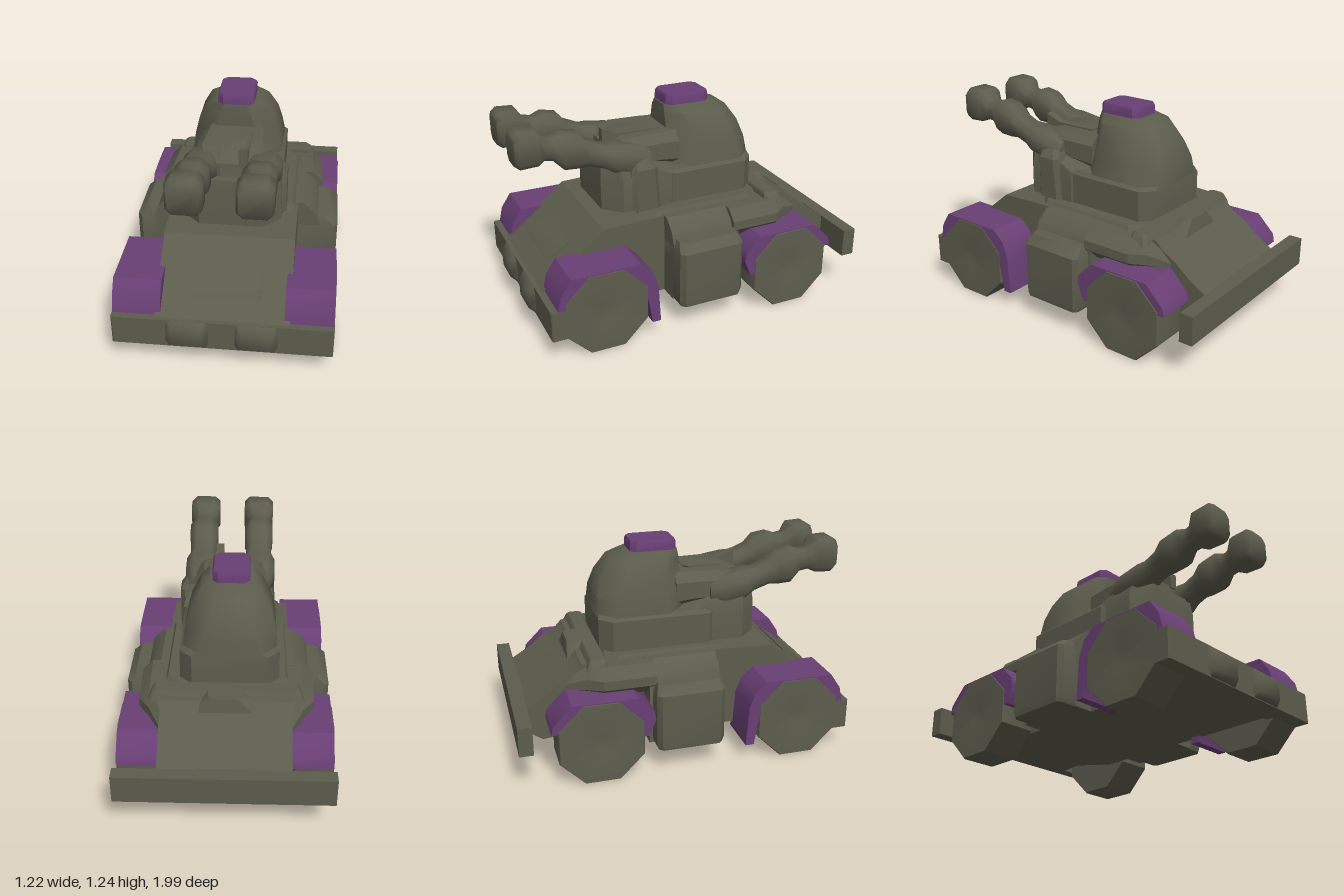
import * as THREE from 'three';
import { toCreasedNormals } from 'three/addons/utils/BufferGeometryUtils.js';

const olive = new THREE.MeshStandardMaterial({ color: 0x5c5c4d });
olive.name = 'olive armour';
const purple = new THREE.MeshStandardMaterial({ color: 0x693f75 });
purple.name = 'purple trim';

function add(parent, name, geometry, material = olive, crease = 0.6) {
  const mesh = new THREE.Mesh(toCreasedNormals(geometry, crease), material);
  mesh.name = name;
  parent.add(mesh);
  return mesh;
}

// Side profile given as [z, y], extruded across the width from x0 to x1
function across(points, x0, x1) {
  const shape = new THREE.Shape(points.map(([z, y]) => new THREE.Vector2(z, y)));
  const g = new THREE.ExtrudeGeometry(shape, { depth: x1 - x0, bevelEnabled: false });
  return g.rotateY(-Math.PI / 2).translate(x1, 0, 0);
}

// Stack of chamfered rectangles along y: [y, centreX, centreZ, halfX, halfZ, chamfer 0..1]
function loft(sections) {
  const pos = [], index = [], n = 8;
  sections.forEach(([y, cx, cz, hx, hz, cut]) => {
    const c = cut * Math.min(hx, hz), a = hx - c, b = hz - c;
    [[hx, -b], [hx, b], [a, hz], [-a, hz], [-hx, b], [-hx, -b], [-a, -hz], [a, -hz]]
      .forEach(([x, z]) => pos.push(cx + x, y, cz + z));
  });
  const last = sections.length - 1;
  for (let s = 0; s < last; s++) {
    for (let i = 0; i < n; i++) {
      const a = s * n + i, b = s * n + (i + 1) % n;
      index.push(a, a + n, b, b, a + n, b + n);
    }
  }
  for (let i = 1; i < n - 1; i++) {
    index.push(0, i, i + 1, last * n, last * n + i + 1, last * n + i);
  }
  const g = new THREE.BufferGeometry();
  g.setAttribute('position', new THREE.Float32BufferAttribute(pos, 3));
  g.setIndex(index);
  return g;
}

// Same stack laid along z: [z, centreX, centreY, halfX, halfY, chamfer]
function loftZ(sections) {
  return loft(sections.map(([z, x, y, hx, hy, c]) => [z, x, -y, hx, hy, c])).rotateX(Math.PI / 2);
}

function wheelGeometry() {
  const profile = [[0, -0.11], [0.258, -0.11], [0.263, -0.1], [0.263, 0.1], [0.258, 0.11],
    [0.05, 0.11], [0, 0.098]].map(([r, y]) => new THREE.Vector2(r, y));
  return new THREE.LatheGeometry(profile, 8, Math.PI / 8).rotateZ(-Math.PI / 2);
}

export function createModel() {
  const model = new THREE.Group();
  model.name = 'armouredVehicle';

  // Hull: sloped nose, flat deck, stepped tail
  const hull = new THREE.Group();
  hull.name = 'hull';
  model.add(hull);
  add(hull, 'hullCore', across([
    [0.93, 0.15], [0.93, 0.31], [0.84, 0.38], [0.72, 0.475], [0.55, 0.615], [0.3, 0.625],
    [-0.6, 0.625], [-0.64, 0.58], [-0.73, 0.53], [-0.8, 0.47], [-0.93, 0.39], [-0.93, 0.25],
    [-0.84, 0.19], [-0.7, 0.2], [-0.4, 0.14], [0.85, 0.14],
  ], -0.37, 0.37));
  const midShape = new THREE.Shape([[-0.49, 0.14], [0.49, 0.14], [0.5, 0.5], [0.47, 0.57], [0.4, 0.63],
    [-0.4, 0.63], [-0.47, 0.57], [-0.5, 0.5]].map(([x, y]) => new THREE.Vector2(x, y)));
  add(hull, 'midHull', new THREE.ExtrudeGeometry(midShape, { depth: 0.42, bevelEnabled: false })
    .translate(0, 0, -0.24));
  add(hull, 'rearShoulders', loftZ([
    [-0.7, 0, 0.5, 0.37, 0.04, 0.6], [-0.58, 0, 0.53, 0.44, 0.08, 0.6],
    [-0.5, 0, 0.535, 0.5, 0.09, 0.7], [-0.2, 0, 0.54, 0.51, 0.09, 0.7],
  ]));
  add(hull, 'turretDeck', loft([
    [0.6, 0, -0.08, 0.37, 0.4, 0.2], [0.65, 0, -0.08, 0.34, 0.37, 0.2],
  ]));
  add(hull, 'rearDeckRidge', loft([
    [0.6, 0, -0.52, 0.44, 0.06, 0.3], [0.645, 0, -0.51, 0.42, 0.05, 0.3], [0.66, 0, -0.51, 0.4, 0.04, 0.3],
  ]));
  add(hull, 'rearDeckStep', loft([
    [0.56, 0, -0.56, 0.2, 0.09, 0.4], [0.66, 0, -0.56, 0.1, 0.075, 0.4],
  ]));
  // Low raised panel on the sloped nose
  add(hull, 'nosePanel', across([[0.84, 0.39], [0.79, 0.44], [0.7, 0.498], [0.7, 0.4]], -0.2, 0.2));

  // Bumpers
  add(model, 'frontBumper', loft([
    [0.135, 0, 0.88, 0.61, 0.07, 0.1], [0.312, 0, 0.88, 0.61, 0.07, 0.1],
  ]));
  add(model, 'rearBumper', new THREE.BoxGeometry(1.22, 0.17, 0.08).translate(0, 0.315, -0.96));
  add(model, 'rearBumperMount', loft([
    [0.25, 0, -0.91, 0.2, 0.06, 0.6], [0.4, 0, -0.91, 0.15, 0.04, 0.6],
  ]));

  // Fender profiles
  const frontFender = [[0.91, 0.31], [0.89, 0.4], [0.83, 0.49], [0.43, 0.49], [0.36, 0.43], [0.325, 0.34],
    [0.31, 0.1], [0.36, 0.1], [0.385, 0.25], [0.48, 0.42], [0.79, 0.42], [0.84, 0.31]];
  const rearFender = [[-0.23, 0.35], [-0.24, 0.4], [-0.33, 0.49], [-0.7, 0.49], [-0.81, 0.38], [-0.82, 0.33],
    [-0.74, 0.33], [-0.62, 0.42], [-0.42, 0.42], [-0.31, 0.25], [-0.27, 0.25]];

  for (const side of [1, -1]) {
    const label = side > 0 ? 'left' : 'right';
    const span = (a, b) => (side > 0 ? [a, b] : [-b, -a]);
    add(model, label + 'FrontFender', across(frontFender, ...span(0.34, 0.607)), purple);
    add(model, label + 'RearFender', across(rearFender, ...span(0.35, 0.605)), purple);

    // Wheels
    for (const [name, z] of [['FrontWheel', 0.63], ['RearWheel', -0.54]]) {
      const wheel = add(model, label + name, wheelGeometry());
      wheel.position.set(side * 0.5, 0.243, z);
      if (side < 0) wheel.rotation.y = Math.PI;
    }

    // Broad low swelling of the bumper below each gun
    add(model, label + 'BumperSwell', loft([
      [0.14, side * 0.19, 0.91, 0.14, 0.04, 0.95], [0.17, side * 0.19, 0.925, 0.14, 0.06, 0.95],
      [0.28, side * 0.19, 0.925, 0.14, 0.06, 0.95], [0.31, side * 0.19, 0.91, 0.14, 0.04, 0.95],
    ]), olive, 1.2);

    // Side tank between the wheels
    add(model, label + 'SidePod', loft([
      [0.14, side * 0.485, -0.02, 0.12, 0.19, 0.2], [0.17, side * 0.48, -0.02, 0.13, 0.2, 0.2],
      [0.48, side * 0.48, -0.02, 0.13, 0.2, 0.2], [0.53, side * 0.46, -0.02, 0.1, 0.18, 0.25],
    ]));
  }

  // Turret
  const turret = new THREE.Group();
  turret.name = 'turret';
  model.add(turret);
  add(turret, 'turretBase', loft([
    [0.65, -0.015, -0.11, 0.285, 0.36, 0.25], [0.83, -0.015, -0.11, 0.285, 0.36, 0.25],
    [0.85, -0.015, -0.11, 0.265, 0.355, 0.3],
  ]));
  add(turret, 'turretFront', loft([
    [0.65, 0, 0.24, 0.28, 0.25, 0.4], [0.84, 0, 0.24, 0.28, 0.25, 0.4], [0.93, 0, 0.34, 0.25, 0.14, 0.6],
  ]));
  add(turret, 'turretSideKnob', loft([
    [0.65, 0.25, 0.25, 0.055, 0.09, 0.5], [0.9, 0.25, 0.26, 0.055, 0.08, 0.5], [0.95, 0.22, 0.27, 0.05, 0.06, 0.5],
  ]));
  add(turret, 'dome', loft([
    [0.83, -0.015, -0.215, 0.27, 0.255, 0.35], [0.94, -0.02, -0.212, 0.255, 0.25, 0.42],
    [1.04, -0.02, -0.195, 0.23, 0.235, 0.5], [1.14, -0.02, -0.16, 0.175, 0.2, 0.5],
    [1.18, -0.02, -0.115, 0.125, 0.15, 0.45],
  ]), olive, 0.8);
  add(turret, 'hatch', loft([
    [1.165, -0.02, -0.11, 0.107, 0.138, 0.3], [1.225, -0.02, -0.11, 0.107, 0.136, 0.3],
    [1.24, -0.02, -0.11, 0.1, 0.13, 0.3],
  ]), purple);

  // Gun mantlet and central column
  add(turret, 'mantlet', loftZ([
    [0, -0.01, 0.94, 0.2, 0.11, 0.5], [0.12, -0.01, 0.95, 0.21, 0.1, 0.5],
    [0.3, -0.01, 0.95, 0.22, 0.1, 0.5], [0.43, -0.01, 0.93, 0.18, 0.08, 0.5],
  ]));
  add(turret, 'centreColumn', loft([
    [0.82, -0.01, 0.35, 0.11, 0.13, 0.3], [0.9, -0.01, 0.28, 0.08, 0.16, 0.3],
    [1.01, -0.01, 0.27, 0.08, 0.16, 0.3], [1.06, -0.01, 0.2, 0.08, 0.12, 0.3],
  ]));
  add(turret, 'sightFin', across([[0.44, 1.0], [0.44, 1.1], [0.34, 1.06], [0.08, 1.06], [0.08, 1.0]], 0.04, 0.09));

  // Twin knobbly guns, tilted slightly upwards
  for (const side of [1, -1]) {
    const x = side * 0.178;
    add(turret, side > 0 ? 'leftGun' : 'rightGun', loftZ([
      [0.2, x, 0.92, 0.07, 0.07, 0.5], [0.3, x, 0.94, 0.1, 0.09, 0.5], [0.42, x, 0.965, 0.1, 0.08, 0.5],
      [0.48, x, 0.985, 0.08, 0.065, 0.5], [0.57, x, 1.02, 0.08, 0.07, 0.5], [0.62, x, 1.045, 0.09, 0.1, 0.5],
      [0.71, x, 1.055, 0.09, 0.105, 0.5], [0.77, x, 1.075, 0.065, 0.065, 0.5], [0.82, x, 1.085, 0.07, 0.065, 0.5],
      [0.86, x, 1.105, 0.095, 0.1, 0.35], [0.96, x, 1.105, 0.095, 0.105, 0.35], [0.99, x, 1.105, 0.08, 0.085, 0.4],
    ]), olive, 1.1);
  }
  return model;
}
